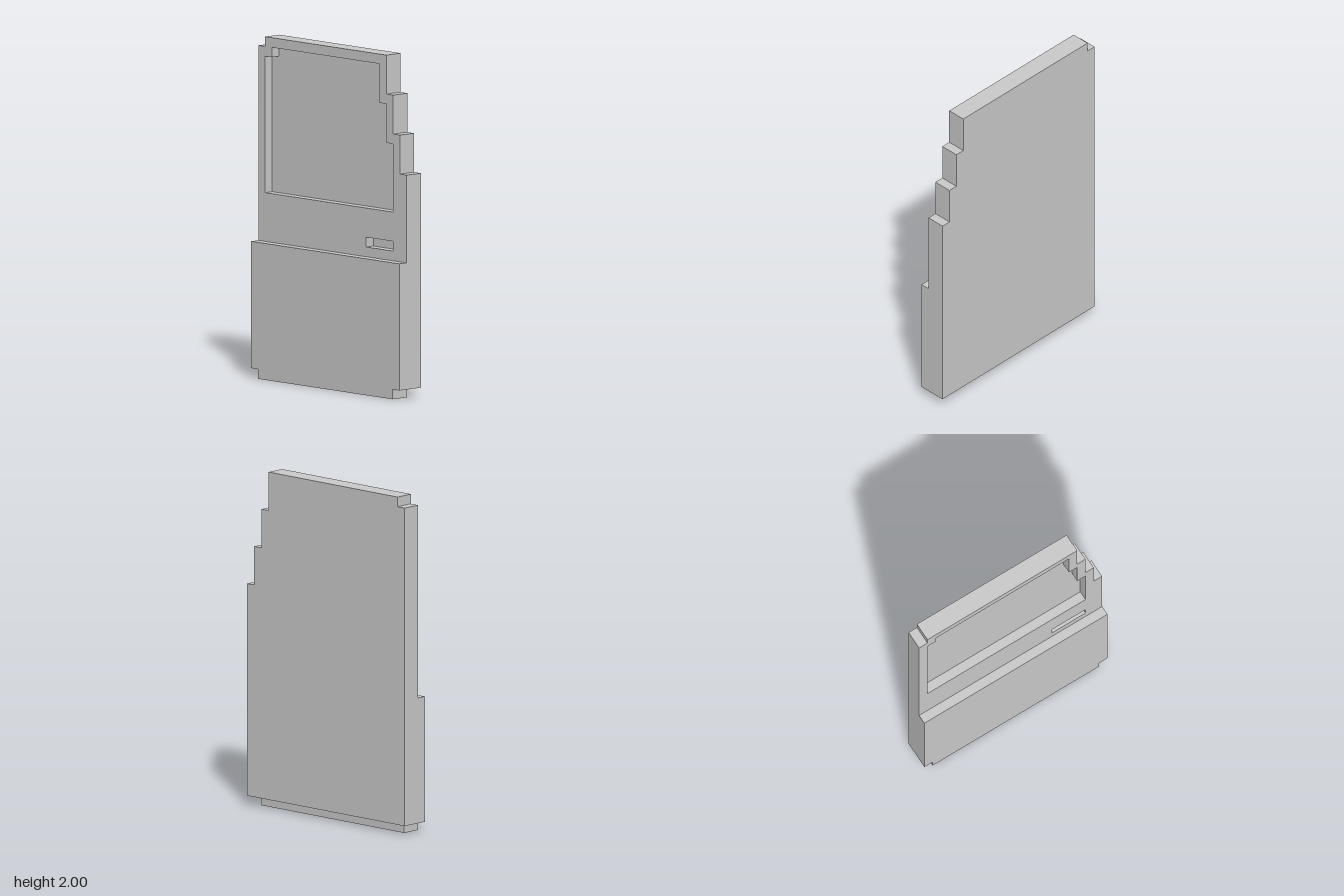
import * as THREE from 'three';

// Everything sits on a block grid: 22 units deep, 35 high, 3 thick
const U = 2 / 35;
const material = new THREE.MeshStandardMaterial({ color: 0xcccccc, flatShading: true });

// Corners are [units forward from the rear edge, units up]
const toPoints = (corners) => corners.map(([k, j]) => new THREE.Vector2((k - 11) * U, j * U));

// Slab with the given side outline, between two thickness units (0 = inner face, 3 = outer face)
function slab(name, outline, from, to, holes = []) {
  const shape = new THREE.Shape(toPoints(outline));
  holes.forEach((hole) => shape.holes.push(new THREE.Path(toPoints(hole))));
  const geometry = new THREE.ExtrudeGeometry(shape, { depth: (to - from) * U, bevelEnabled: false });
  geometry.rotateY(-Math.PI / 2);
  geometry.translate((to - 1.5) * U, 0, 0);
  const mesh = new THREE.Mesh(geometry, material);
  mesh.name = name;
  return mesh;
}

const rect = (k0, j0, k1, j1) => [[k0, j0], [k1, j0], [k1, j1], [k0, j1]];

// Front edge stepping back by one unit every four units of height
function steps(k, j, count) {
  const corners = [];
  for (let i = 0; i < count; i++) corners.push([k - i, j + 4 * i], [k - i - 1, j + 4 * i]);
  return corners;
}

export function createModel() {
  const door = new THREE.Group();
  door.name = 'door';

  const outline = [[0, 1], [22, 1], ...steps(22, 23, 3), [19, 35], [1, 35], [1, 34], [0, 34]];
  const windowRecess = [[1, 19], [20, 19], ...steps(20, 26, 2), [18, 34], [2, 34], [2, 33], [1, 33]];
  const handleRecess = rect(16, 15, 20, 16);

  door.add(
    slab('outerPanel', outline, 2, 3),
    slab('innerFrame', outline, 1, 2, [windowRecess, handleRecess]),
    slab('lowerTrim', rect(0, 1, 22, 14), 0, 1),
    slab('bottomSill', rect(1, 0, 21, 1), 0, 2),
  );
  return door;
}
